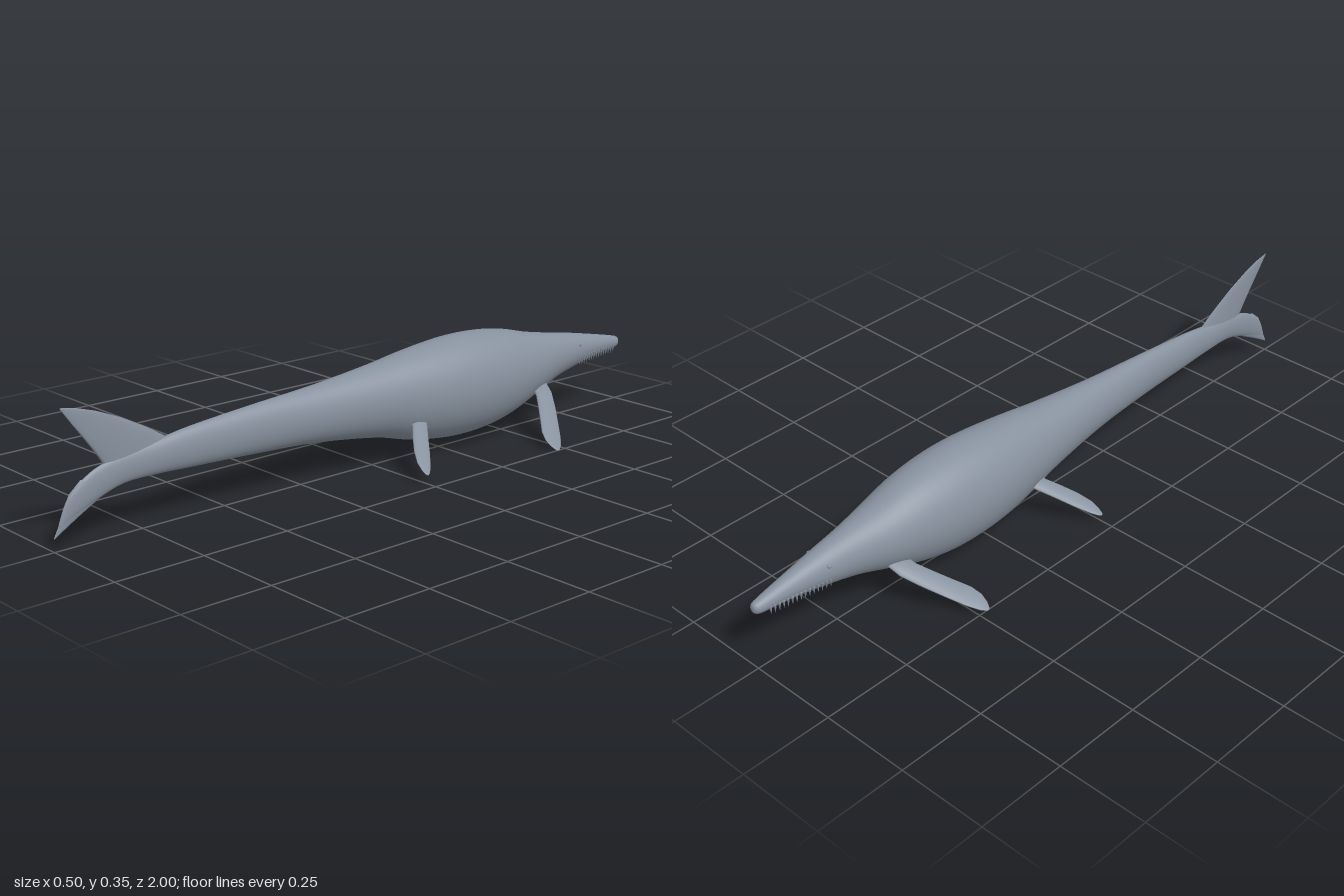
import * as THREE from 'three';

const skin = new THREE.MeshStandardMaterial({ color: 0x87919e });
skin.name = 'slate grey skin';

const V = (x, y, z) => new THREE.Vector3(x, y, z);

// Skin over elliptical rings, each { c: centre, a: half axis, b: half axis }
function loft(name, rings, sides) {
  const n = rings.length, pos = [], idx = [];
  const d = rings[n - 1].c.clone().sub(rings[0].c);
  const mid = rings[n >> 1];
  const flip = mid.a.clone().cross(mid.b).dot(d) < 0 ? -1 : 1;
  for (const { c, a, b } of rings) {
    for (let j = 0; j < sides; j++) {
      const t = (j / sides) * Math.PI * 2;
      const p = c.clone().addScaledVector(a, Math.cos(t)).addScaledVector(b, flip * Math.sin(t));
      pos.push(p.x, p.y, p.z);
    }
  }
  for (let i = 0; i < n - 1; i++) {
    for (let j = 0; j < sides; j++) {
      const k = (j + 1) % sides, p = i * sides, q = p + sides;
      idx.push(p + j, p + k, q + j, p + k, q + k, q + j);
    }
  }
  // end caps
  const s = n * sides, last = (n - 1) * sides;
  for (const r of [rings[0], rings[n - 1]]) pos.push(r.c.x, r.c.y, r.c.z);
  for (let j = 0; j < sides; j++) {
    const k = (j + 1) % sides;
    idx.push(s, k, j, s + 1, last + j, last + k);
  }
  const g = new THREE.BufferGeometry();
  g.setAttribute('position', new THREE.Float32BufferAttribute(pos, 3));
  g.setIndex(idx);
  g.computeVertexNormals();
  const mesh = new THREE.Mesh(g, skin);
  mesh.name = name;
  return mesh;
}

// Thin blade: sections of [leading point, trailing point, half thickness]
function blade(name, sections, normal) {
  return loft(name, sections.map(([p, q, t]) => ({
    c: p.clone().add(q).multiplyScalar(0.5),
    a: q.clone().sub(p).multiplyScalar(0.5),
    b: normal.clone().multiplyScalar(t),
  })), 16);
}

// Body stations: z, top, bottom, half width
const stations = [
  [-0.999, 0.188, 0.178, 0.004], [-0.994, 0.197, 0.17, 0.012], [-0.975, 0.203, 0.164, 0.018],
  [-0.9, 0.219, 0.158, 0.027], [-0.8, 0.239, 0.141, 0.041], [-0.7, 0.256, 0.119, 0.057],
  [-0.6, 0.275, 0.086, 0.081], [-0.5, 0.3, 0.052, 0.101], [-0.4, 0.313, 0.033, 0.112],
  [-0.3, 0.315, 0.029, 0.113], [-0.2, 0.308, 0.037, 0.106], [-0.1, 0.297, 0.056, 0.092],
  [0, 0.283, 0.081, 0.078], [0.2, 0.263, 0.108, 0.053], [0.4, 0.25, 0.12, 0.036],
  [0.6, 0.233, 0.128, 0.025], [0.7, 0.218, 0.132, 0.019], [0.8, 0.203, 0.13, 0.013],
  [0.88, 0.183, 0.105, 0.011], [0.94, 0.145, 0.078, 0.008], [0.965, 0.115, 0.064, 0.005],
  [0.985, 0.068, 0.048, 0.002],
];

function body() {
  const curve = f => new THREE.CatmullRomCurve3(stations.map(f), false, 'catmullrom', 0.5);
  const heights = curve(s => V(s[0], s[1], s[2]));
  const widths = curve(s => V(s[0], s[3], 0));
  const rings = [];
  for (let i = 0; i <= 84; i++) {
    const h = heights.getPoint(i / 84), w = widths.getPoint(i / 84).y;
    rings.push({ c: V(0, (h.y + h.z) / 2, h.x), a: V(w, 0, 0), b: V(0, (h.y - h.z) / 2, 0) });
  }
  return loft('body', rings, 40);
}

// Flipper sections: leading x, z, trailing x, z, half thickness
const frontFlipper = [
  [0.06, -0.625, 0.06, -0.565, 0.009], [0.09, -0.615, 0.085, -0.555, 0.009],
  [0.135, -0.583, 0.12, -0.527, 0.007], [0.18, -0.547, 0.155, -0.498, 0.006],
  [0.22, -0.514, 0.19, -0.468, 0.004], [0.243, -0.49, 0.215, -0.457, 0.003],
  [0.252, -0.475, 0.235, -0.458, 0.002], [0.252, -0.467, 0.247, -0.463, 0.001],
];
const rearFlipper = [
  [0.055, -0.13, 0.055, -0.085, 0.008], [0.085, -0.125, 0.08, -0.075, 0.008],
  [0.125, -0.092, 0.11, -0.048, 0.006], [0.165, -0.06, 0.145, -0.02, 0.005],
  [0.2, -0.029, 0.178, -0.001, 0.003], [0.214, -0.013, 0.2, 0.003, 0.002],
  [0.218, -0.004, 0.213, 0.002, 0.001],
];

function flipper(name, sections, side) {
  const slope = 0.645;
  const at = (x, z) => V(side * x, 0.114 - slope * (x - 0.08), z);
  const normal = V(side * slope, 1, 0).normalize();
  return blade(name, sections.map(([x1, z1, x2, z2, t]) => [at(x1, z1), at(x2, z2), t]), normal);
}

export function createModel() {
  const model = new THREE.Group();
  model.name = 'marineReptile';
  model.add(body());

  for (const side of [1, -1]) {
    const label = side > 0 ? 'left' : 'right';
    model.add(flipper(label + 'FrontFlipper', frontFlipper, side));
    model.add(flipper(label + 'RearFlipper', rearFlipper, side));

    // eye
    const eye = new THREE.Mesh(new THREE.SphereGeometry(0.006, 12, 8), skin);
    eye.name = label + 'Eye';
    eye.position.set(side * 0.037, 0.212, -0.79);
    model.add(eye);

    // row of teeth along the jaw
    const teeth = new THREE.Group();
    teeth.name = label + 'Teeth';
    const geo = new THREE.ConeGeometry(0.0045, 0.024, 6).rotateX(Math.PI);
    for (let i = 0; i < 15; i++) {
      const t = i / 14;
      const tooth = new THREE.Mesh(geo, skin);
      tooth.name = 'tooth';
      tooth.position.set(side * (0.038 - 0.018 * t), 0.162 + 0.007 * t, -0.79 - 0.17 * t);
      teeth.add(tooth);
    }
    model.add(teeth);
  }

  // upper tail fin, swept backwards
  const X = V(1, 0, 0);
  model.add(blade('upperTailFin', [
    [V(0, 0.195, 0.64), V(0, 0.17, 0.84), 0.009],
    [V(0, 0.224, 0.675), V(0, 0.19, 0.855), 0.008],
    [V(0, 0.258, 0.73), V(0, 0.225, 0.878), 0.007],
    [V(0, 0.295, 0.8), V(0, 0.265, 0.907), 0.005],
    [V(0, 0.325, 0.87), V(0, 0.305, 0.937), 0.003],
    [V(0, 0.342, 0.925), V(0, 0.333, 0.957), 0.002],
    [V(0, 0.349, 0.965), V(0, 0.347, 0.967), 0.0008],
  ], X));

  // lower tail lobe, bent down with the tail
  model.add(blade('lowerTailFin', [
    [V(0, 0.126, 0.84), V(0, 0.165, 0.92), 0.009],
    [V(0, 0.105, 0.875), V(0, 0.135, 0.955), 0.007],
    [V(0, 0.078, 0.925), V(0, 0.105, 0.968), 0.005],
    [V(0, 0.055, 0.965), V(0, 0.07, 0.983), 0.003],
    [V(0, 0.035, 0.999), V(0, 0.037, 1), 0.0008],
  ], X));

  return model;
}
